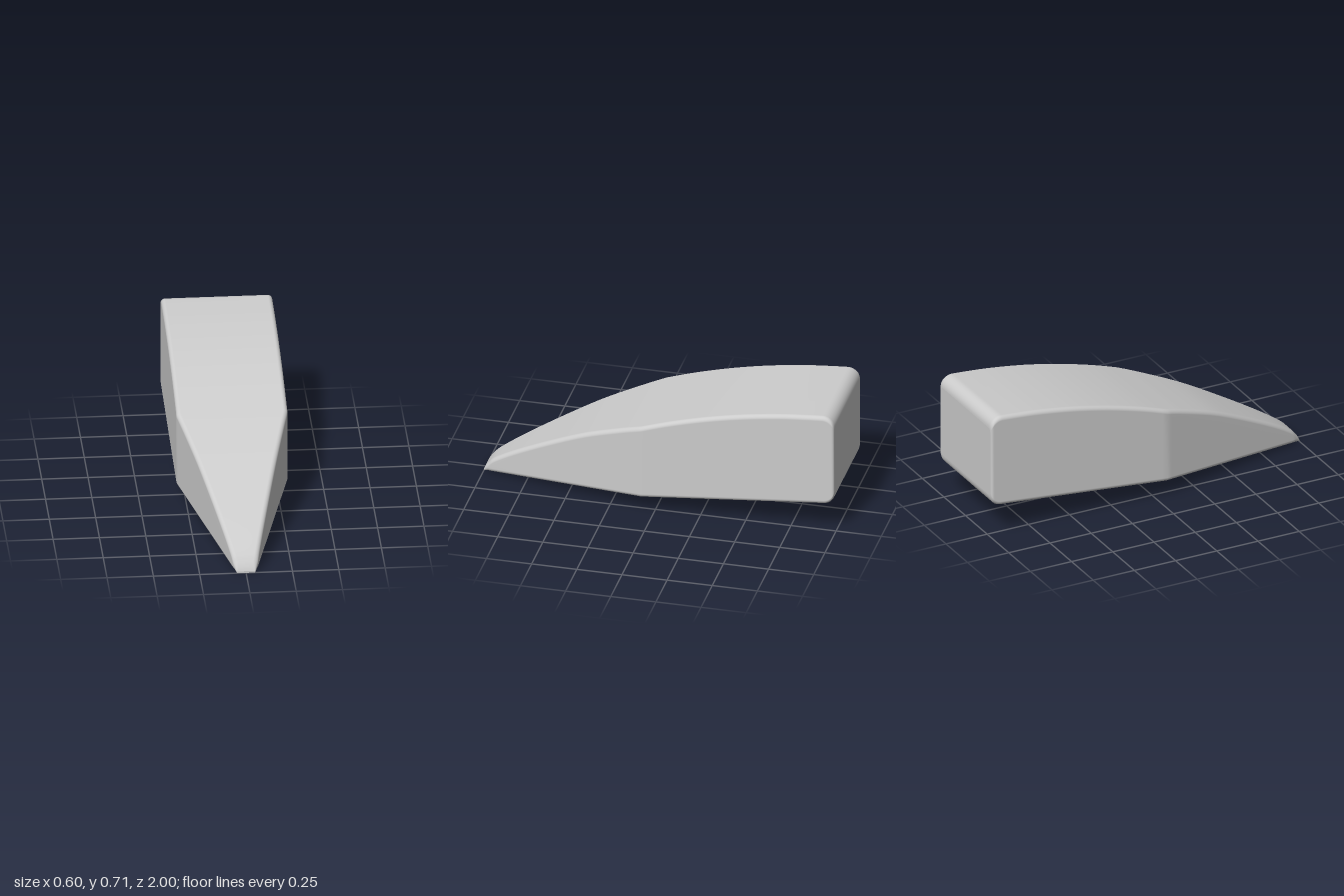
import * as THREE from 'three';

const BACK_R = 0.065; // rounding of the upper and lower back edges
const EDGE_R = 0.024; // rounding of the long edges

const bottomAt = (z) => 0.0933 * (1 - z);

// straight sides at the back, tapering to a narrow, rounded tip
function halfWidthAt(z) {
  let w = z < 0.07 ? 0.3 : 0.3 - 0.259 * (z - 0.07);
  if (z > 0.95) w -= 0.009 * ((z - 0.95) / 0.05) ** 2;
  return w;
}

// one rounded-rectangle cross-section, counter-clockwise seen from the front
function section(z, w, b, t) {
  const r = Math.min(EDGE_R, (t - b) * 0.45, w * 0.5);
  const corners = [[w - r, t - r, 0], [-w + r, t - r, 1], [-w + r, b + r, 2], [w - r, b + r, 3]];
  const pts = [];
  for (const [cx, cy, q] of corners) {
    for (let i = 0; i <= 6; i++) {
      const a = (q + i / 6) * Math.PI / 2;
      pts.push([cx + r * Math.cos(a), cy + r * Math.sin(a), z]);
    }
  }
  return pts;
}

function wedgeGeometry() {
  // arched top line, from the tip to the back
  const top = new THREE.SplineCurve([
    [1, 0.01], [0.99, 0.032], [0.97, 0.06], [0.93, 0.098], [0.8, 0.18], [0.6, 0.29], [0.4, 0.39],
    [0.2, 0.47], [0.07, 0.516], [-0.1, 0.571], [-0.3, 0.624], [-0.5, 0.665], [-0.7, 0.694],
    [-0.85, 0.708], [-1 + BACK_R, 0.714],
  ].map(([z, y]) => new THREE.Vector2(z, y)));

  const rings = top.getPoints(14 * 5).map((p) => section(p.x, halfWidthAt(p.x), bottomAt(p.x), p.y));

  // rounded back edges: large above and below, small at the sides
  const tEnd = 0.714, bEnd = bottomAt(-1 + BACK_R);
  for (let i = 1; i <= 10; i++) {
    const a = (i / 10) * Math.PI / 2;
    const depth = BACK_R * Math.sin(a);
    const inset = BACK_R * (1 - Math.cos(a));
    const s = Math.max(0, (depth - BACK_R + 0.014) / 0.014);
    const side = 0.014 * (1 - Math.sqrt(Math.max(0, 1 - s * s)));
    rings.push(section(-1 + BACK_R - depth, 0.3 - side, bEnd + inset, tEnd - inset));
  }

  const n = rings[0].length;
  const pos = rings.flat(2);
  const index = [];
  for (let k = 0; k < rings.length - 1; k++) {
    for (let i = 0; i < n; i++) {
      const j = (i + 1) % n;
      const a = k * n + i, b = k * n + j, c = a + n, d = b + n;
      index.push(a, c, b, b, c, d);
    }
  }
  // end caps, with their own corners so that the flat faces stay flat
  for (const [ring, front] of [[rings[0], true], [rings[rings.length - 1], false]]) {
    const base = pos.length / 3;
    pos.push(...ring.flat());
    for (let i = 1; i < n - 1; i++) {
      if (front) index.push(base, base + i, base + i + 1);
      else index.push(base, base + i + 1, base + i);
    }
  }
  const geo = new THREE.BufferGeometry();
  geo.setAttribute('position', new THREE.Float32BufferAttribute(pos, 3));
  geo.setIndex(index);
  geo.computeVertexNormals();
  return geo;
}

export function createModel() {
  const group = new THREE.Group();
  group.name = 'wedge';
  const grey = new THREE.MeshStandardMaterial({ color: 0xcccccc });
  grey.name = 'light grey';
  const body = new THREE.Mesh(wedgeGeometry(), grey);
  body.name = 'wedgeBody';
  group.add(body);
  return group;
}
